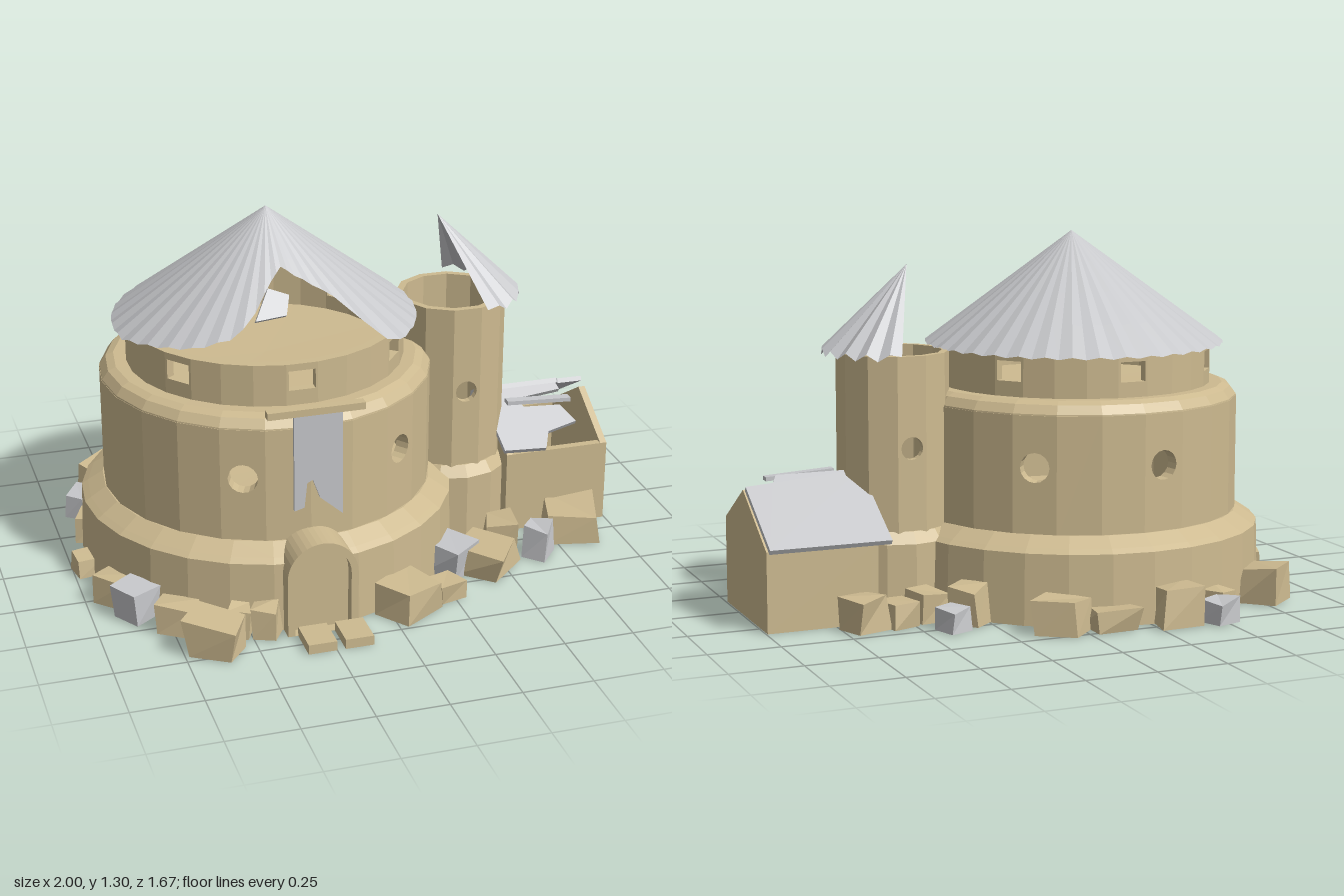
import * as THREE from 'three';

const mat = (name, color) => new THREE.MeshStandardMaterial({ name, color, flatShading: true, side: THREE.DoubleSide });

export function createModel() {
  const stone = mat('sandstone', 0xcdba90);
  const slate = mat('pale slate', 0xc6c7ca);
  const root = new THREE.Group();
  root.name = 'ruinedTower';

  let seed = 7;
  const rnd = () => (seed = (seed * 16807) % 2147483647) / 2147483647;
  const jit = (a) => (rnd() - 0.5) * 2 * a;

  const add = (name, geo, material, x = 0, y = 0, z = 0, parent = root) => {
    const m = new THREE.Mesh(geo, material);
    m.name = name;
    m.position.set(x, y, z);
    parent.add(m);
    return m;
  };
  const shapeOf = (pts) => new THREE.Shape(pts.map(([x, y]) => new THREE.Vector2(x, y)));
  const extrude = (shape, depth) =>
    new THREE.ExtrudeGeometry(shape, { depth, bevelEnabled: false, curveSegments: 8 });
  const lathe = (pts, n) => new THREE.LatheGeometry(pts.map(([x, y]) => new THREE.Vector2(x, y)), n);

  // Ring of flat wall panels; windows lists the angles (degrees) that get a hole
  function ringWall(name, cx, cz, n, offset, r, y0, y1, t, windows, hole) {
    const g = new THREE.Group();
    g.name = name;
    g.position.set(cx, 0, cz);
    const w = r * Math.sin(Math.PI / n);
    for (let i = 0; i < n; i++) {
      const deg = ((i + offset) * 360) / n;
      const s = shapeOf([[-w, y0], [w, y0], [w, y1], [-w, y1]]);
      if (windows.some((a) => Math.abs(((a - deg + 540) % 360) - 180) < 180 / n)) s.holes.push(hole());
      const geo = extrude(s, t);
      geo.translate(0, 0, r * Math.cos(Math.PI / n) - t);
      geo.rotateY((deg * Math.PI) / 180);
      add(name + 'Panel', geo, stone, 0, 0, 0, g);
    }
    root.add(g);
  }
  const roundHole = (y, r) => () => new THREE.Path().absarc(0, y, r, 0, Math.PI * 2, true);
  const squareHole = (w, y0, y1) => () =>
    new THREE.Path([[-w, y0], [-w, y1], [w, y1], [w, y0]].map(([x, y]) => new THREE.Vector2(x, y)));

  // Pleated cone sheet whose reach varies with angle: rows are [degrees, reach 0..1]
  function brokenCone(apex, cx, cz, R, yEave, table, step, pleat) {
    const pos = [], idx = [], rings = 4;
    const a0 = table[0][0], a1 = table[table.length - 1][0];
    const n = Math.round((a1 - a0) / step);
    for (let i = 0; i <= n; i++) {
      const a = a0 + ((a1 - a0) * i) / n;
      let k = 0;
      while (k < table.length - 2 && table[k + 1][0] < a) k++;
      const [p, q] = [table[k], table[k + 1]];
      const reach = THREE.MathUtils.lerp(p[1], q[1], (a - p[0]) / (q[0] - p[0]));
      const rad = (a * Math.PI) / 180;
      const eave = new THREE.Vector3(cx + R * Math.sin(rad), yEave, cz + R * Math.cos(rad));
      for (let j = 0; j <= rings; j++) {
        const t = (reach * j) / rings;
        const v = apex.clone().lerp(eave, t);
        pos.push(v.x, v.y + (i % 2 ? pleat : -pleat) * t, v.z);
        if (i < n && j < rings) {
          const b = i * (rings + 1) + j, c = b + rings + 1;
          idx.push(b, b + 1, c + 1);
          if (j) idx.push(b, c + 1, c);
        }
      }
    }
    const g = new THREE.BufferGeometry();
    g.setAttribute('position', new THREE.Float32BufferAttribute(pos, 3));
    g.setIndex(idx);
    g.computeVertexNormals();
    return g;
  }

  // Main keep
  const X = -0.265, Z = -0.03;
  add('keepBase', lathe([[0, 0], [0.68, 0], [0.672, 0.25], [0.65, 0.265], [0.595, 0.3], [0, 0.29]], 28), stone, X, 0, Z);
  ringWall('keepWall', X, Z, 24, 0.5, 0.592, 0.28, 0.71, 0.05, [37.5, 142.5, -22.5, -172.5], roundHole(0.53, 0.052));
  add('keepLedge', lathe([[0.54, 0.69], [0.592, 0.7], [0.59, 0.715], [0.568, 0.745], [0.54, 0.757], [0, 0.75]], 24), stone, X, 0, Z);
  ringWall('drumWall', X, Z, 28, 0, 0.495, 0.75, 0.905, 0.035, [0, 51.4, 128.6, 180, -128.6, -102.9, -51.4], squareHole(0.047, 0.81, 0.88));

  // Main roof with the torn opening at the front
  add('keepRoof', brokenCone(new THREE.Vector3(-0.255, 1.3, Z), X, Z, 0.54, 0.9, [
    [-180, 1], [-80, 1], [-62, 0.95], [-44, 0.9], [-27, 0.8], [-12, 0.48],
    [0, 0.38], [18, 0.5], [32, 0.64], [36, 0.86], [42, 1], [180, 1]], 5, 0.004), slate);
  const flap = add('liftedRoofTile', extrude(shapeOf([[-0.06, -0.05], [0.05, -0.04], [0.07, 0.03], [0, 0.06]]), 0.02), slate, -0.33, 1.05, 0.29);
  flap.rotation.x = -0.6;

  // Side turret
  const TX = 0.44, TZ = -0.045;
  add('turretBase', lathe([[0, 0], [0.23, 0], [0.23, 0.25], [0.2, 0.29], [0, 0.29]], 14), stone, TX, 0, TZ);
  ringWall('turretWall', TX, TZ, 12, 0, 0.2, 0.28, 0.9, 0.025, [0, 180], roundHole(0.58, 0.04));
  add('turretFloor', new THREE.CylinderGeometry(0.18, 0.18, 0.02, 12), stone, TX, 0.72, TZ);
  add('turretRoof', brokenCone(new THREE.Vector3(0.385, 1.2, TZ), TX + 0.01, TZ, 0.24, 0.9,
    [[14, 0.96], [22, 1], [160, 1], [170, 0.95]], 10, 0.012), slate);

  // Lean house: two gables, two long walls and a floor
  const gable = [[-0.165, 0], [0.33, 0], [0.33, 0.28], [0.06, 0.445], [-0.165, 0.31]];
  for (const x of [0.6, 0.97]) {
    const g = extrude(shapeOf(gable), 0.025);
    g.rotateY(Math.PI / 2);
    add('houseGable', g, stone, x, 0, 0);
  }
  add('houseFrontWall', new THREE.BoxGeometry(0.39, 0.31, 0.03), stone, 0.8, 0.155, 0.15);
  add('houseBackWall', new THREE.BoxGeometry(0.39, 0.28, 0.03), stone, 0.8, 0.14, -0.315);
  add('houseFloor', new THREE.BoxGeometry(0.38, 0.02, 0.46), stone, 0.8, 0.01, -0.08);
  const slope = (name, pts, dy, dz) => {
    add(name, extrude(shapeOf(pts), 0.018), slate, 0, 0.475, -0.06).rotation.x = Math.atan2(dz, dy);
  };
  slope('houseBackRoof', [[0.57, 0], [0.88, 0], [0.9, 0.04], [1, 0.05], [1, 0.375], [0.57, 0.375]], -0.19, -0.32);
  slope('houseFrontRoof', [[0.57, -0.02], [0.87, -0.02], [0.88, 0.03], [0.7, 0.05], [0.72, 0.09], [0.86, 0.1],
    [0.9, 0.18], [0.78, 0.21], [0.75, 0.28], [0.59, 0.27]], -0.15, 0.24);
  const plank = add('loosePlank', new THREE.BoxGeometry(0.25, 0.015, 0.035), slate, 0.76, 0.465, 0.05);
  plank.rotation.z = -0.06;

  // Arched doorway with steps
  const arch = (r, y0) => new THREE.Path().moveTo(r, y0).lineTo(r, 0.215).absarc(0, 0.215, r, 0, Math.PI, false).lineTo(-r, y0);
  const frame = new THREE.Shape(arch(0.125, 0).getPoints(10));
  add('doorBlock', extrude(frame, 0.1), stone, X + 0.005, 0, 0.55);
  const ring = frame.clone();
  ring.holes.push(new THREE.Path(arch(0.1, 0.001).getPoints(10)));
  add('doorArch', extrude(ring, 0.12), stone, X + 0.005, 0, 0.57);
  for (const x of [-0.3, -0.17]) {
    add('doorStep', new THREE.BoxGeometry(0.1, 0.035, 0.13), stone, x, 0.0175, 0.755);
  }

  // Torn banner on its rail
  add('bannerRail', new THREE.BoxGeometry(0.34, 0.025, 0.035), stone, -0.25, 0.78, 0.57);
  add('banner', extrude(shapeOf([[-0.33, 0.775], [-0.16, 0.775], [-0.16, 0.39], [-0.24, 0.46],
    [-0.265, 0.53], [-0.285, 0.52], [-0.295, 0.43], [-0.33, 0.42]]), 0.012), slate, 0, 0, 0.574);

  // Fallen block: a box with loosened corners, sitting on the ground
  function block(x, z, size, material) {
    const g = new THREE.BoxGeometry(1, 1, 1);
    const p = g.attributes.position;
    const h = 0.07 + rnd() * 0.06, d = size * (0.75 + rnd() * 0.25);
    const shift = {};
    for (let i = 0; i < p.count; i++) {
      const key = [p.getX(i), p.getY(i), p.getZ(i)].join();
      const s = (shift[key] ??= [1 + jit(0.2), 1 + jit(0.12), 1 + jit(0.2)]);
      p.setXYZ(i, p.getX(i) * size * s[0], p.getY(i) > 0 ? h * s[1] : 0, p.getZ(i) * d * s[2]);
    }
    g.computeVertexNormals();
    add('fallenBlock', g, material, x, 0.003, z).rotation.y = Math.atan2(x - X, z - Z) + jit(0.3);
  }
  // Rubble around the foot of the walls: x, z, size
  const stoneRubble = [
    [-0.95, 0.03, 0.09], [-0.89, 0.27, 0.12], [-0.73, 0.53, 0.13], [-0.64, 0.71, 0.17], [-0.54, 0.64, 0.07],
    [-0.45, 0.65, 0.09], [0.06, 0.64, 0.17], [0.22, 0.58, 0.11], [0.43, 0.42, 0.18], [0.54, 0.27, 0.12],
    [0.83, 0.24, 0.19], [0.44, -0.36, 0.12], [0.32, -0.46, 0.11], [0.08, -0.69, 0.15], [-0.1, -0.71, 0.15],
    [-0.33, -0.74, 0.15], [-0.52, -0.68, 0.08], [-0.77, -0.57, 0.15], [-0.89, -0.22, 0.1], [0.55, -0.39, 0.13], [0.68, -0.4, 0.13],
  ];
  const slateRubble = [[-0.85, 0.4, 0.12], [0.31, 0.39, 0.15], [0.65, 0.37, 0.11], [0.41, -0.53, 0.09], [-0.48, -0.775, 0.1], [-0.89, -0.43, 0.11]];
  for (const [x, z, size] of stoneRubble) block(x, z, size, stone);
  for (const [x, z, size] of slateRubble) block(x, z, size, slate);

  return root;
}
